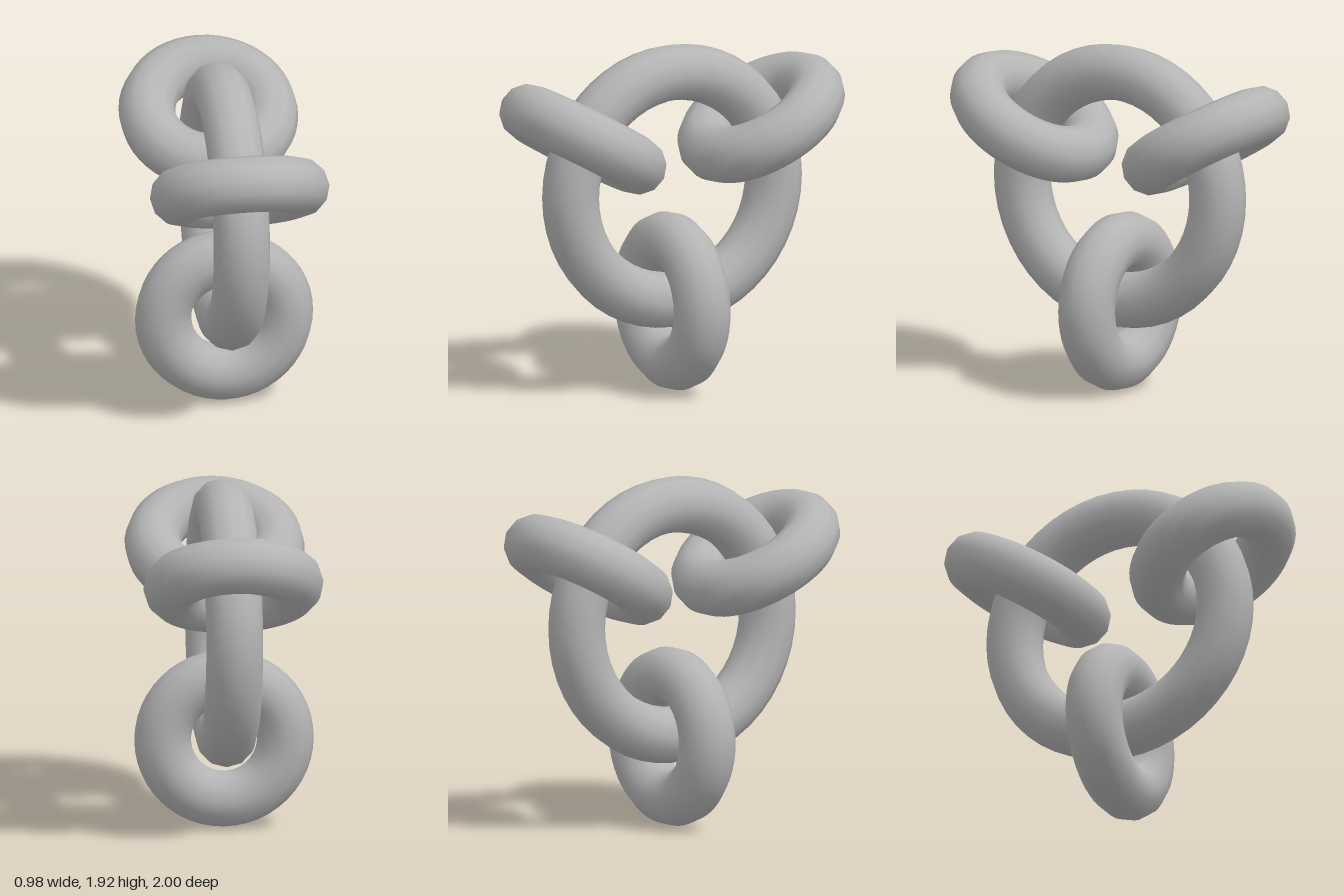
import * as THREE from 'three';

const TUBE = 0.155;       // thickness radius shared by all rings
const CENTRE_Y = 1.131;   // height of the large ring's centre
const LINK_OFFSET = 0.641; // distance from there to each small ring's centre

export function createModel() {
  const model = new THREE.Group();
  model.name = 'linkedRings';

  const grey = new THREE.MeshStandardMaterial({ color: 0xb4b4b4 });
  grey.name = 'grey';

  const addRing = (name, radius) => {
    const ring = new THREE.Mesh(new THREE.TorusGeometry(radius, TUBE, 12, 48), grey);
    ring.name = name;
    model.add(ring);
    return ring;
  };

  // Large ring standing in the side plane
  const largeRing = addRing('largeRing', 0.632);
  largeRing.rotation.y = Math.PI / 2;
  largeRing.position.y = CENTRE_Y;

  // Three small rings threaded on it, a third of a turn apart
  ['lowerRing', 'backRing', 'frontRing'].forEach((name, i) => {
    const angle = (i * Math.PI * 2) / 3;
    const ring = addRing(name, 0.335);
    ring.rotation.x = angle;
    ring.position.set(0, CENTRE_Y - LINK_OFFSET * Math.cos(angle), -LINK_OFFSET * Math.sin(angle));
  });

  return model;
}
